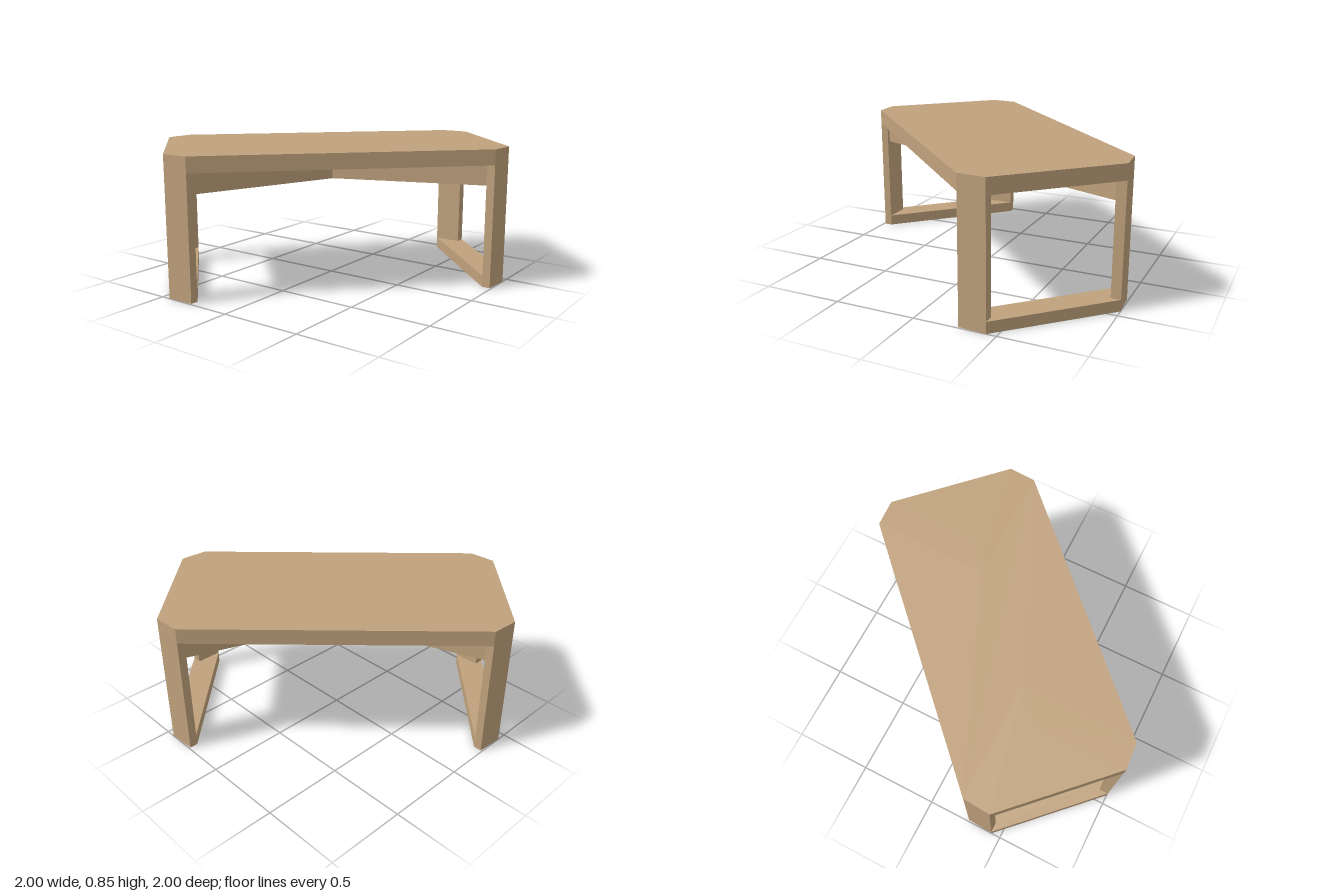
import * as THREE from 'three';

const wood = new THREE.MeshStandardMaterial({ color: 0xc0a27d });
wood.name = 'wood';

// Upright prism over an (x, z) footprint, from y0 to y1.
function slab(name, footprint, y0, y1) {
  const shape = new THREE.Shape(footprint.map(([x, z]) => new THREE.Vector2(x, -z)));
  const geo = new THREE.ExtrudeGeometry(shape, { depth: y1 - y0, bevelEnabled: false });
  geo.rotateX(-Math.PI / 2);
  geo.translate(0, y0, 0);
  const mesh = new THREE.Mesh(geo, wood);
  mesh.name = name;
  return mesh;
}

export function createModel() {
  const table = new THREE.Group();
  table.name = 'table';

  const FOOT = 0.07, APRON = 0.625, UNDER = 0.755, TOP = 0.85;
  const A = 0.272, B = 0.44, EDGE = 0.99, INNER = 0.94;
  const swap = (points) => points.map(([x, z]) => [z, x]);

  // Middle panel of the top, notched by the inlaid corner bands
  table.add(slab('topPanel', [
    [A, EDGE], [A, A], [EDGE, A], [-A, -EDGE], [-A, -A], [-EDGE, -A],
  ], UNDER, TOP));

  // Both ends are alike, turned half round
  for (let i = 0; i < 2; i++) {
    const end = new THREE.Group();
    end.name = i ? 'backEnd' : 'frontEnd';

    // L-shaped band and the triangle inside it
    end.add(slab('topBand', [[A, EDGE], [B, 1], [B, B], [1, B], [EDGE, A], [A, A]], UNDER, TOP));
    end.add(slab('topCorner', [[B, B], [B, 1], [1, B]], UNDER, TOP));

    // Plank legs dropping from the band ends
    const leg = [[A, INNER], [A, EDGE], [B, 1], [B, INNER]];
    end.add(slab('legA', leg, FOOT, UNDER));
    end.add(slab('legB', swap(leg), FOOT, UNDER));

    // Floor runner joining the two legs
    end.add(slab('runner', [
      [A, INNER], [A, EDGE], [B, 1], [1, B], [EDGE, A], [INNER, A],
    ], 0, FOOT));

    end.rotation.y = i * Math.PI;
    table.add(end);
  }

  // Crossed beams under the top, running from leg to opposite leg
  const angle = Math.atan2(0.357, 0.965);
  for (const a of [angle, Math.PI / 2 - angle]) {
    const beam = new THREE.Mesh(new THREE.BoxGeometry(2.05, UNDER - APRON, 0.1), wood);
    beam.name = 'crossBeam';
    beam.position.y = (UNDER + APRON) / 2;
    beam.rotation.y = -a;
    table.add(beam);
  }
  return table;
}
